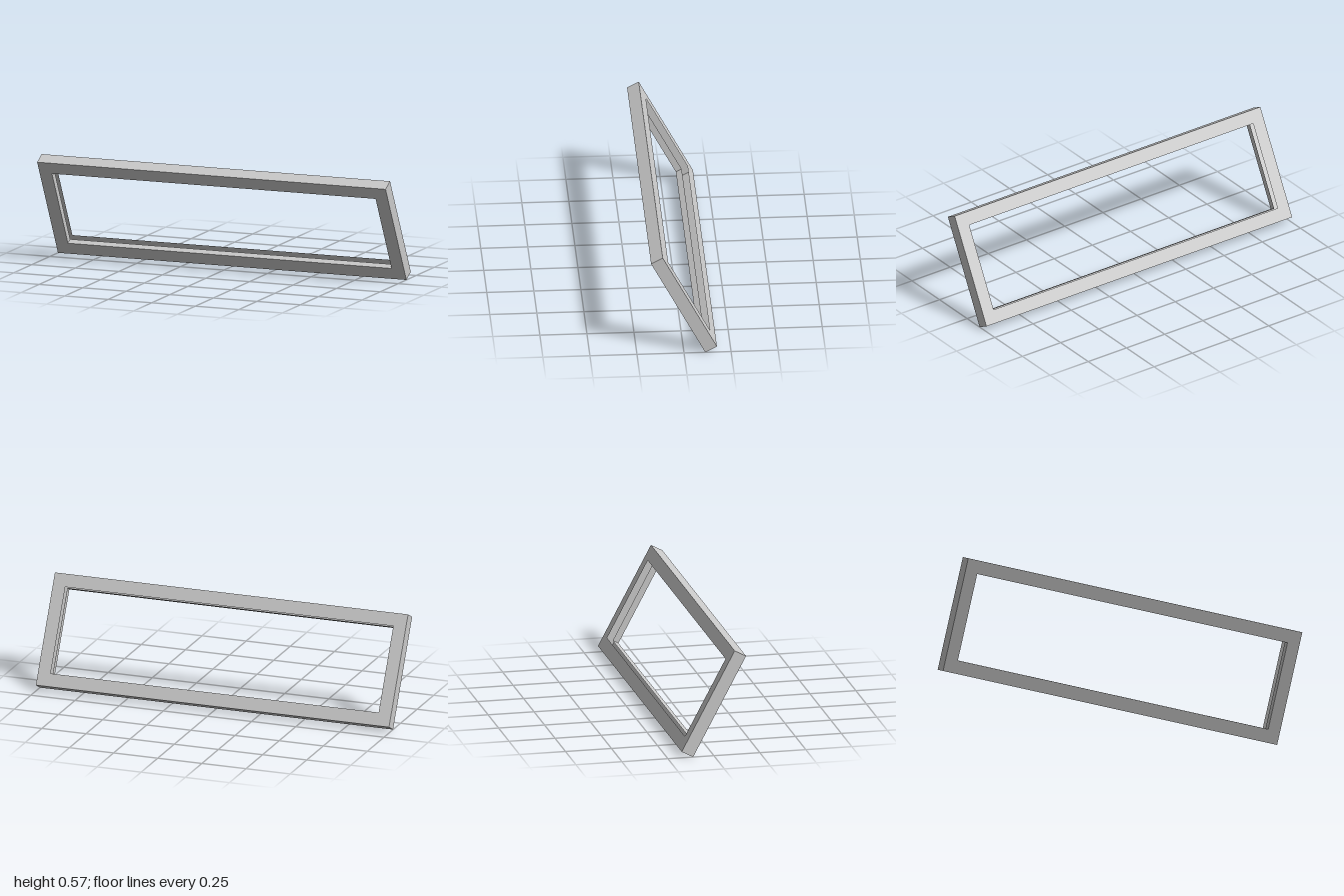
import * as THREE from 'three';

const W = 2, H = 0.612, T = 0.07, MARGIN = 0.071, TILT = 0.49;
const IW = W - 2 * MARGIN, IH = H - 2 * MARGIN;

const material = new THREE.MeshStandardMaterial({ color: 0xcccccc, flatShading: true, side: THREE.DoubleSide });

// flat rectangular ring with the window opening cut out
function faceRing(name, z, back) {
  const rect = (P, w, h) => new P([
    new THREE.Vector2(-w / 2, -h / 2), new THREE.Vector2(w / 2, -h / 2),
    new THREE.Vector2(w / 2, h / 2), new THREE.Vector2(-w / 2, h / 2),
  ]);
  const shape = rect(THREE.Shape, W, H);
  shape.holes.push(rect(THREE.Path, IW, IH));
  const mesh = new THREE.Mesh(new THREE.ShapeGeometry(shape), material);
  mesh.name = name;
  mesh.position.z = z;
  if (back) mesh.rotation.y = Math.PI;
  return mesh;
}

// four walls around a rectangle, from z0 to z1, facing outward or inward
function wallBand(name, w, h, z0, z1, inward) {
  const band = new THREE.Group();
  band.name = name;
  for (let i = 0; i < 4; i++) {
    const [length, distance] = i % 2 ? [h, w / 2] : [w, h / 2];
    const geometry = new THREE.PlaneGeometry(length, z1 - z0);
    geometry.rotateX(inward ? Math.PI / 2 : -Math.PI / 2);
    geometry.translate(0, distance, (z0 + z1) / 2);
    geometry.rotateZ(i * Math.PI / 2);
    const wall = new THREE.Mesh(geometry, material);
    wall.name = name + 'Side';
    band.add(wall);
  }
  return band;
}

export function createModel() {
  const model = new THREE.Group();
  model.name = 'tiltedFrame';

  const frame = new THREE.Group();
  frame.name = 'frame';
  frame.add(
    faceRing('frontFace', T / 2, false),
    faceRing('backFace', -T / 2, true),
    wallBand('outerRim', W, H, -T / 2, T / 2, false),
    // the inner wall covers the front half only, leaving an open slot behind it
    wallBand('innerWall', IW, IH, 0, T / 2, true),
  );

  // lean the top forward and rest the lower edge on the ground
  frame.rotation.x = TILT;
  frame.position.y = (H * Math.cos(TILT) + T * Math.sin(TILT)) / 2;
  model.add(frame);
  return model;
}
